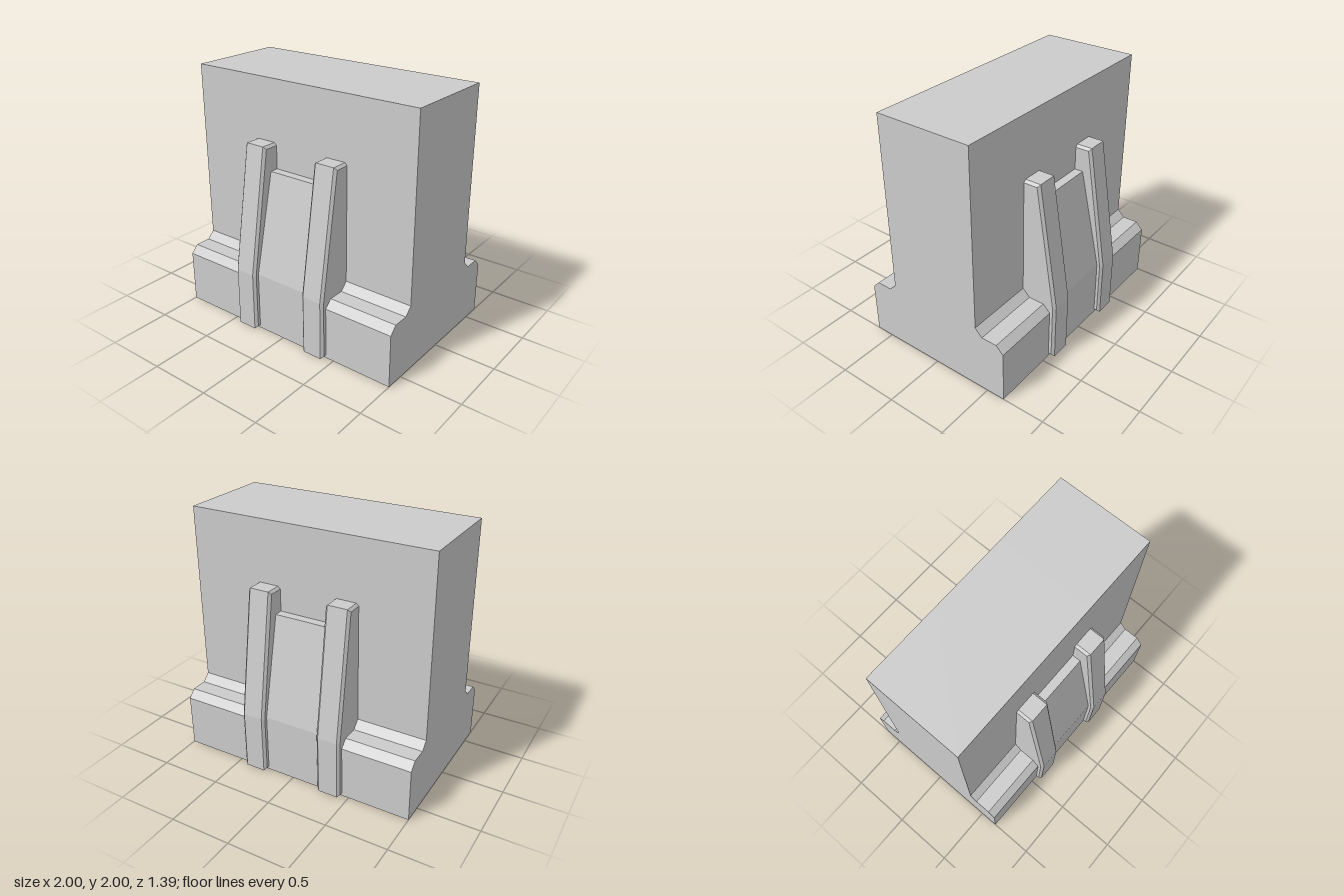
import * as THREE from 'three';

const material = new THREE.MeshStandardMaterial({ color: 0xcccccc, flatShading: true, side: THREE.DoubleSide });

// Half profiles as [z, y], from the floor up to the top edge
const ledgeProfile = [[0.65, 0], [0.65, 0.43], [0.59, 0.49], [0.46, 0.49], [0.4, 0.55], [0.4, 2]];
const panelProfile = [[0.65, 0], [0.65, 0.49], [0.47, 1.3], [0.4, 1.3], [0.4, 2]];
const ribProfile = [[0.36, 0.005], [0.695, 0.005], [0.695, 0.49], [0.53, 1.505], [0.36, 1.505]];

const mirrored = half => [...half, ...half.slice().reverse().map(([z, y]) => [-z, y])];
const toShape = points => new THREE.Shape(points.map(([z, y]) => new THREE.Vector2(z, y)));

function addMesh(parent, geometry, name) {
  const mesh = new THREE.Mesh(geometry, material);
  mesh.name = name;
  parent.add(mesh);
  return mesh;
}

// Shell swept along x, open underneath
function sweep(half, x0, x1) {
  const points = mirrored(half);
  const positions = [];
  for (let i = 0; i < points.length - 1; i++) {
    const [za, ya] = points[i], [zb, yb] = points[i + 1];
    positions.push(x0, ya, za, x1, ya, za, x1, yb, zb);
    positions.push(x0, ya, za, x1, yb, zb, x0, yb, zb);
  }
  const geometry = new THREE.BufferGeometry();
  geometry.setAttribute('position', new THREE.Float32BufferAttribute(positions, 3));
  geometry.computeVertexNormals();
  return geometry;
}

// Chamfered buttress, optionally leaning sideways and slightly taller
function ribGeometry(side, x, lean, stretch) {
  const bevel = 0.02, width = 0.2;
  const geometry = new THREE.ExtrudeGeometry(toShape(ribProfile), {
    depth: width - 2 * bevel, bevelEnabled: true, bevelSegments: 1,
    bevelSize: bevel, bevelThickness: bevel, bevelOffset: -bevel,
  });
  geometry.translate(0, 0, bevel - width / 2);
  geometry.rotateY(-side * Math.PI / 2);
  const p = geometry.attributes.position;
  for (let i = 0; i < p.count; i++) {
    const y = p.getY(i);
    p.setX(i, p.getX(i) + x + lean * y / 1.5);
    p.setY(i, y * stretch);
  }
  geometry.computeVertexNormals();
  return geometry;
}

export function createModel() {
  const group = new THREE.Group();
  group.name = 'wallSegment';

  // Wall lengths with stepped footing, and the sloped panel between the ribs
  addMesh(group, sweep(ledgeProfile, -1, -0.33), 'rightWall');
  addMesh(group, sweep(panelProfile, -0.33, 0.33), 'middleWallWithSlopedPanels');
  addMesh(group, sweep(ledgeProfile, 0.33, 1), 'leftWall');

  // End faces
  for (const side of [-1, 1]) {
    const cap = new THREE.ShapeGeometry(toShape(mirrored(ledgeProfile)));
    cap.rotateY(side * Math.PI / 2);
    cap.translate(side, 0, 0);
    addMesh(group, cap, side > 0 ? 'leftEnd' : 'rightEnd');
  }

  // Buttress ribs on front and back
  for (const side of [1, -1]) {
    const face = side > 0 ? 'front' : 'back';
    addMesh(group, ribGeometry(side, 0.33, 0, 0.996), face + 'LeftRib');
    addMesh(group, ribGeometry(side, -0.342, 0.012, 1.002), face + 'RightRib');
  }
  return group;
}
